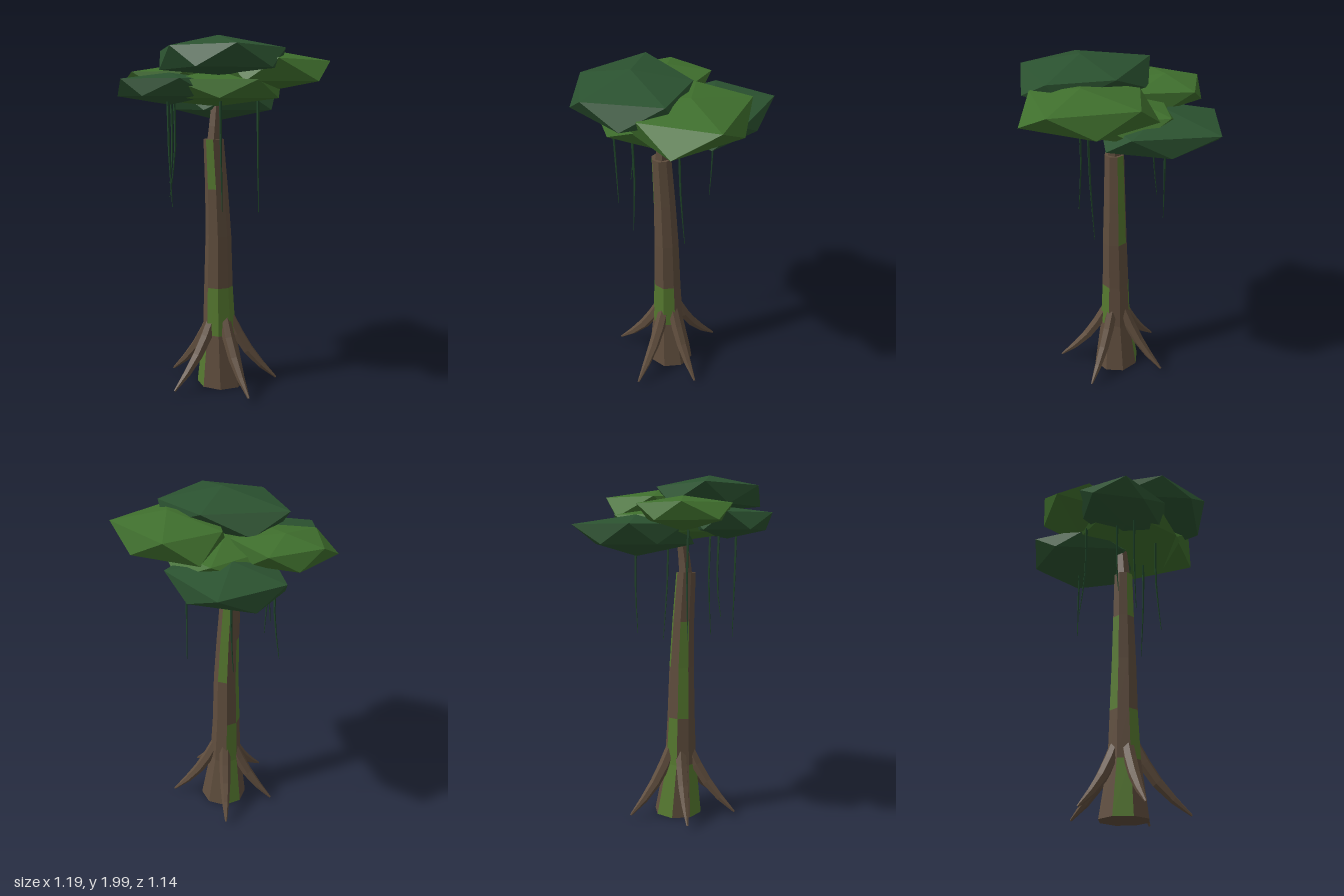
import * as THREE from 'three';

const mat = (name, color) => new THREE.MeshStandardMaterial({ name, color });

// Flat-faced mesh
function facet(name, geometry, material) {
  const g = geometry.index ? geometry.toNonIndexed() : geometry;
  g.computeVertexNormals();
  const mesh = new THREE.Mesh(g, material);
  mesh.name = name;
  return mesh;
}

function fromTriangles(points) {
  return new THREE.BufferGeometry().setFromPoints(points);
}

// Tapered tube along a curve; radii are spread evenly over its length
function limb(name, points, radii, sides, segments, material) {
  const curve = new THREE.CatmullRomCurve3(points.map(p => new THREE.Vector3(...p)));
  const g = new THREE.TubeGeometry(curve, segments, 1, sides);
  const pos = g.attributes.position, v = new THREE.Vector3();
  for (let i = 0; i < pos.count; i++) {
    const t = Math.floor(i / (sides + 1)) / segments;
    const s = t * (radii.length - 1), k = Math.min(Math.floor(s), radii.length - 2);
    const r = THREE.MathUtils.lerp(radii[k], radii[k + 1], s - k);
    const c = curve.getPointAt(t);
    v.fromBufferAttribute(pos, i).sub(c).multiplyScalar(r).add(c);
    pos.setXYZ(i, v.x, v.y, v.z);
  }
  return facet(name, g, material);
}

// Squashed 20-sided leaf clump: ten outline corners (x, z) alternate upper and lower
function clump(name, material, outline, [cx, cz], [yTop, yUp, yLow, yBottom]) {
  const top = new THREE.Vector3(cx, yTop, cz), bottom = new THREE.Vector3(cx, yBottom, cz);
  const up = [], low = [], tris = [];
  outline.forEach(([x, z], i) => (i % 2 ? low : up).push(new THREE.Vector3(x, i % 2 ? yLow : yUp, z)));
  for (let i = 0; i < 5; i++) {
    const j = (i + 1) % 5;
    tris.push(top, up[j], up[i], up[i], up[j], low[i], low[i], up[j], low[j], low[i], low[j], bottom);
  }
  return facet(name, fromTriangles(tris), material);
}

export function createModel() {
  const bark = mat('bark', 0x5f4d3d);
  const moss = mat('moss', 0x55782f);
  const darkLeaf = mat('darkLeaf', 0x2b5230);
  const lightLeaf = mat('lightLeaf', 0x3f6f2d);
  const vineGreen = mat('vineGreen', 0x1f4429);
  const tree = new THREE.Group();
  tree.name = 'tree';

  // Trunk: eight-sided rings [y, x, z, radius]
  const rings = [
    [0.012, -0.003, 0.055, 0.142], [0.32, -0.015, 0.065, 0.096], [0.6, -0.02, 0.065, 0.083],
    [0.9, -0.02, 0.068, 0.074], [1.17, -0.03, 0.072, 0.065], [1.45, -0.046, 0.08, 0.057],
  ];
  const mossFaces = ['0-4', '0-6', '1-7', '1-0', '1-1', '1-4', '2-5', '3-5', '3-3', '4-3', '4-7'];
  const corner = (r, k) => {
    const [y, x, z, rad] = rings[r], a = k * Math.PI / 4;
    return new THREE.Vector3(x + rad * Math.sin(a), y, z + rad * Math.cos(a));
  };
  const barkTris = [], mossTris = [];
  for (let r = 0; r < rings.length - 1; r++) {
    for (let k = 0; k < 8; k++) {
      const a = corner(r, k), b = corner(r, k + 1), c = corner(r + 1, k + 1), d = corner(r + 1, k);
      (mossFaces.includes(`${r}-${k}`) ? mossTris : barkTris).push(a, b, c, a, c, d);
    }
  }
  // Trunk ends
  const last = rings.length - 1;
  const centre = r => new THREE.Vector3(rings[r][1], rings[r][0], rings[r][2]);
  for (let k = 0; k < 8; k++) {
    barkTris.push(centre(0), corner(0, k + 1), corner(0, k), centre(last), corner(last, k), corner(last, k + 1));
  }
  tree.add(facet('trunk', fromTriangles(barkTris), bark));
  tree.add(facet('trunkMoss', fromTriangles(mossTris), moss));

  // Narrow branch joining trunk and crown
  tree.add(limb('crownBranch', [[-0.045, 1.42, 0.08], [-0.035, 1.56, 0.07], [-0.025, 1.72, 0.05]],
    [0.043, 0.036, 0.03], 6, 3, bark));

  // Buttress roots, by tip position
  const roots = new THREE.Group();
  roots.name = 'roots';
  for (const [x, z] of [[0.32, 0.06], [0.16, 0.37], [-0.26, 0.29], [-0.3, -0.06], [0, -0.265]]) {
    const at = (t, y) => [-0.01 + (x + 0.01) * t, y, 0.06 + (z - 0.06) * t];
    roots.add(limb('root', [at(0.15, 0.42), at(0.38, 0.27), at(0.65, 0.15), at(1, 0.04)],
      [0.034, 0.036, 0.028, 0.006], 6, 4, bark));
  }
  tree.add(roots);

  // Hanging vines: top x, z and tip x, y, z
  const vines = new THREE.Group();
  vines.name = 'vines';
  for (const [x, z, tx, ty, tz] of [
    [0, 0.275, 0.01, 1.07, 0.29], [0.2, 0.105, 0.21, 1.03, 0.075], [-0.28, -0.05, -0.312, 1.1, -0.07],
    [-0.28, 0.26, -0.262, 1.09, 0.255], [-0.275, 0.15, -0.285, 1.21, 0.16], [-0.03, -0.23, -0.04, 1.12, -0.23],
  ]) {
    vines.add(limb('vine', [[x, 1.7, z], [x + 0.003, 1.38, z - 0.006], [tx, ty, tz]],
      [0.008, 0.006, 0.002], 4, 4, vineGreen));
  }
  tree.add(vines);

  // Crown
  const crown = new THREE.Group();
  crown.name = 'crown';
  crown.add(
    clump('topClump', darkLeaf, [[-0.348, 0.01], [-0.14, -0.077], [0.12, -0.02], [0.31, 0.19], [0.342, 0.255],
      [0.265, 0.46], [0.09, 0.572], [-0.11, 0.553], [-0.25, 0.43], [-0.335, 0.17]],
    [-0.01, 0.26], [2, 1.935, 1.825, 1.795]),
    clump('leftClump', lightLeaf, [[0.31, -0.25], [0.48, -0.1], [0.592, 0.1], [0.51, 0.32], [0.3, 0.385],
      [0.13, 0.36], [0.03, 0.25], [-0.02, 0.05], [0.01, -0.1], [0.13, -0.27]],
    [0.29, 0.09], [1.93, 1.875, 1.76, 1.72]),
    clump('rightClump', lightLeaf, [[-0.49, -0.22], [-0.36, -0.3], [-0.2, -0.32], [-0.12, -0.2], [-0.03, -0.05],
      [-0.08, 0.07], [-0.2, 0.16], [-0.35, 0.13], [-0.5, 0.08], [-0.598, -0.07]],
    [-0.31, -0.1], [1.86, 1.82, 1.73, 1.68]),
    clump('middleClump', lightLeaf, [[0.08, -0.31], [0.25, -0.2], [0.33, 0], [0.31, 0.2], [0.2, 0.36],
      [0, 0.41], [-0.25, 0.38], [-0.43, 0.2], [-0.38, 0], [-0.14, -0.27]],
    [-0.03, 0.07], [1.83, 1.77, 1.675, 1.63]),
    clump('backClump', darkLeaf, [[0.06, -0.572], [0.2, -0.37], [0.31, -0.2], [0.28, -0.04], [0.12, 0.08],
      [-0.1, 0.1], [-0.25, -0.05], [-0.3, -0.25], [-0.285, -0.405], [-0.13, -0.49]],
    [-0.03, -0.23], [1.77, 1.715, 1.61, 1.545]),
    clump('frontRightClump', darkLeaf, [[-0.52, 0.03], [-0.38, -0.02], [-0.2, -0.02], [-0.05, 0.05], [0, 0.2],
      [-0.05, 0.35], [-0.2, 0.42], [-0.4, 0.37], [-0.52, 0.32], [-0.57, 0.14]],
    [-0.28, 0.2], [1.81, 1.775, 1.685, 1.64]),
  );
  tree.add(crown);
  return tree;
}
